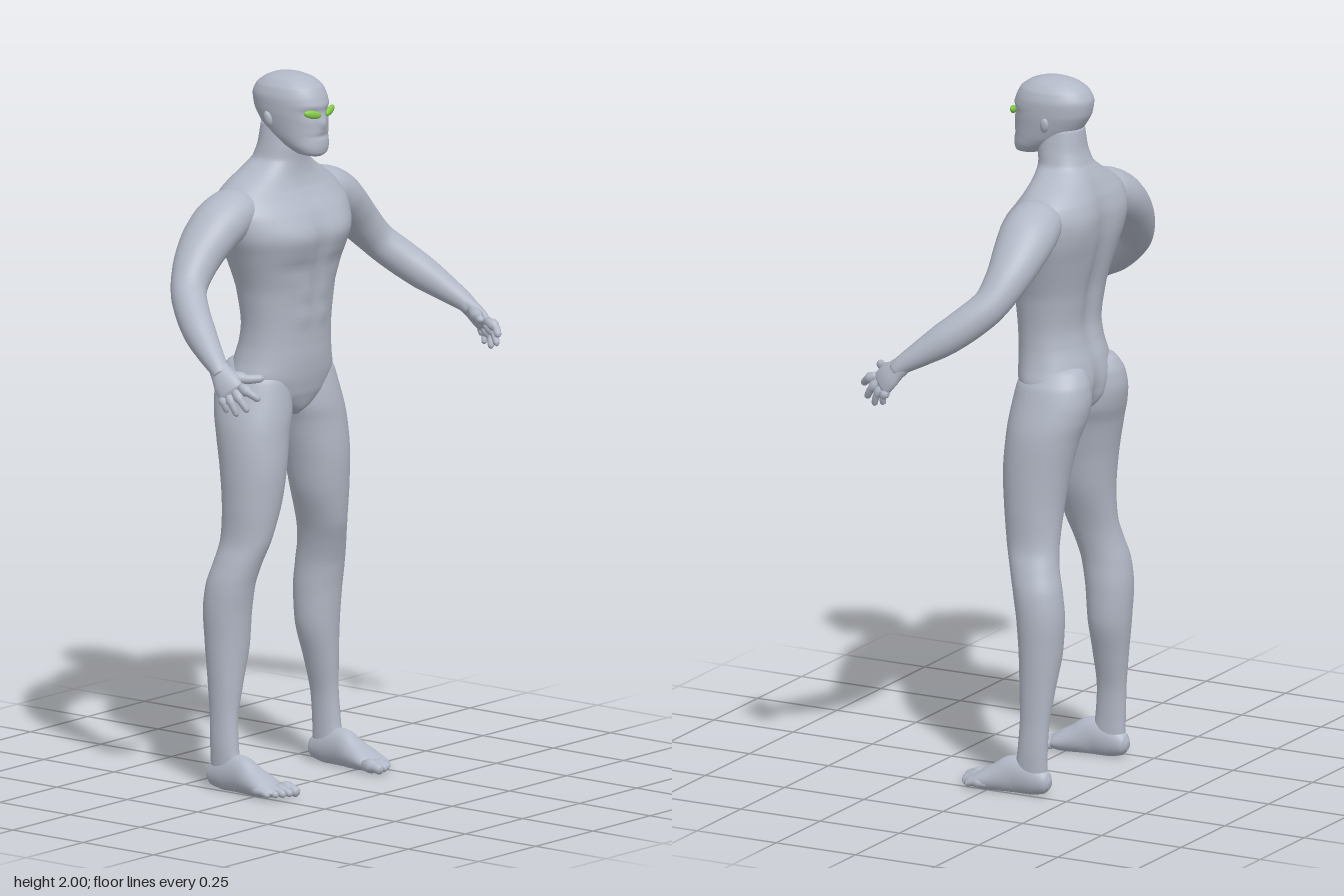
import * as THREE from 'three';

const V = (x, y, z) => new THREE.Vector3(x, y, z);
const bump = (d, w) => Math.exp(-(d * d) / (w * w));
const soft = (v, e) => Math.sign(v) * Math.pow(Math.abs(v), e);

// Joins rings of n points into a closed smooth skin
function skin(rings) {
  const n = rings[0].length, m = rings.length, pos = [], idx = [];
  rings.forEach(r => r.forEach(p => pos.push(p.x, p.y, p.z)));
  [rings[0], rings[m - 1]].forEach(r => {
    const c = r.reduce((s, p) => s.add(p), V(0, 0, 0)).divideScalar(n);
    pos.push(c.x, c.y, c.z);
  });
  for (let j = 0; j < n; j++) {
    const k = (j + 1) % n, top = (m - 1) * n;
    for (let i = 0; i < m - 1; i++) {
      const a = i * n + j, b = i * n + k;
      idx.push(a, b, a + n, b, b + n, a + n);
    }
    idx.push(m * n, k, j, m * n + 1, top + j, top + k);
  }
  const g = new THREE.BufferGeometry();
  g.setAttribute('position', new THREE.Float32BufferAttribute(pos, 3));
  g.setIndex(idx);
  g.computeVertexNormals();
  return g;
}

// Horizontal sections, bottom to top: [y, centre x, half width, front z, back z]
function stack(rows, { n = 40, steps = 6, e = 1, shape } = {}) {
  const mid = new THREE.CatmullRomCurve3(rows.map(r => V(r[1], r[0], 0)));
  const size = new THREE.CatmullRomCurve3(rows.map(r => V(r[2], r[3], r[4])));
  const count = (rows.length - 1) * steps, rings = [];
  for (let i = 0; i <= count; i++) {
    const c = mid.getPoint(i / count), s = size.getPoint(i / count), ring = [];
    for (let j = 0; j < n; j++) {
      const a = j / n * Math.PI * 2;
      const p = V(c.x + s.x * soft(Math.sin(a), e), c.y,
        (s.y + s.z) / 2 + (s.y - s.z) / 2 * soft(Math.cos(a), e));
      if (shape) shape(p, Math.cos(a));
      ring.push(p);
    }
    rings.push(ring);
  }
  return skin(rings);
}

// Sections along a bent path: [x, y, z, radius along ref, radius across]
function limb(rows, { n = 16, steps = 5, ref = V(0, 1, 0), shape } = {}) {
  const path = new THREE.CatmullRomCurve3(rows.map(r => V(r[0], r[1], r[2])));
  const size = new THREE.CatmullRomCurve3(rows.map(r => V(r[3], r[4], 0)));
  const count = (rows.length - 1) * steps, rings = [];
  for (let i = 0; i <= count; i++) {
    const c = path.getPoint(i / count), s = size.getPoint(i / count), t = path.getTangent(i / count);
    const u = ref.clone().addScaledVector(t, -ref.dot(t)).normalize();
    const v = t.clone().cross(u), ring = [];
    for (let j = 0; j < n; j++) {
      const a = j / n * Math.PI * 2;
      const p = c.clone().addScaledVector(u, s.x * Math.cos(a)).addScaledVector(v, s.y * Math.sin(a));
      if (shape) shape(p);
      ring.push(p);
    }
    rings.push(ring);
  }
  return skin(rings);
}

// Finger or toe with a rounded tip
function digit(a, b, c, r, shape) {
  const near = b.clone().lerp(c, 0.8);
  return limb([[...a, r, r], [...b, r, r], [...near, r * 0.85, r * 0.85], [...c, r * 0.3, r * 0.3]],
    { n: 12, steps: 4, shape });
}

function mirrored(geo) {
  const g = geo.clone().scale(-1, 1, 1), ix = g.index;
  for (let i = 0; i < ix.count; i += 3) {
    const b = ix.getX(i + 1);
    ix.setX(i + 1, ix.getX(i + 2));
    ix.setX(i + 2, b);
  }
  g.computeVertexNormals();
  return g;
}

export function createModel() {
  const model = new THREE.Group();
  const skinGrey = new THREE.MeshStandardMaterial({ name: 'blue grey skin', color: 0xb2b8c6 });
  const eyeGreen = new THREE.MeshStandardMaterial({ name: 'eye green', color: 0x84cc48 });
  const add = (name, geo, mat = skinGrey) => {
    const m = new THREE.Mesh(geo, mat);
    m.name = name;
    model.add(m);
  };
  const pair = (name, geo, mat) => {
    add('left' + name, geo, mat);
    add('right' + name, mirrored(geo), mat);
  };

  // Torso and neck, with chest, belly line, spine and shoulder blades
  add('torso', stack([
    [1.035, 0, 0.015, -0.05, -0.13], [1.055, 0, 0.06, -0.03, -0.18], [1.1, 0, 0.15, -0.012, -0.212],
    [1.15, 0, 0.173, -0.002, -0.218], [1.2, 0, 0.16, 0.003, -0.21], [1.25, 0, 0.151, 0.004, -0.195],
    [1.3, 0, 0.15, 0.006, -0.188], [1.4, 0, 0.164, 0.014, -0.2], [1.5, 0, 0.2, 0.036, -0.225],
    [1.56, 0, 0.224, 0.043, -0.236], [1.62, 0, 0.232, 0.02, -0.238], [1.67, 0, 0.21, -0.015, -0.228],
    [1.7, 0, 0.17, -0.03, -0.215], [1.73, 0, 0.118, -0.037, -0.2], [1.76, 0, 0.08, -0.038, -0.182],
    [1.8, 0, 0.07, -0.036, -0.168], [1.86, 0, 0.06, -0.04, -0.16],
  ], {
    n: 64, e: 0.9, shape: (p, f) => {
      const x = Math.abs(p.x);
      if (f > 0) {
        p.z += f * 0.012 * bump(x - 0.095, 0.07) * bump(p.y - 1.56, 0.06);
        p.z -= 0.008 * bump(x, 0.018) * bump(p.y - 1.5, 0.13);
        p.z -= f * 0.006 * bump(p.y - 1.465, 0.02) * bump(x - 0.08, 0.07);
        p.z += f * 0.005 * bump(x - 0.04, 0.03) * (bump(p.y - 1.39, 0.025) + bump(p.y - 1.32, 0.025));
      } else {
        p.z += 0.018 * bump(x, 0.035) * bump(p.y - 1.45, 0.22);
        p.z += 0.02 * bump(x, 0.015) * bump(p.y - 1.1, 0.07);
        p.z -= 0.012 * bump(x - 0.12, 0.06) * bump(p.y - 1.62, 0.08);
      }
    },
  }));

  // Head with brow, eye hollows, nose and mouth crease
  add('head', stack([
    [1.775, 0, 0.02, 0.03, -0.02], [1.782, 0, 0.042, 0.039, -0.04], [1.8, 0, 0.057, 0.043, -0.075],
    [1.83, 0, 0.068, 0.041, -0.13], [1.86, 0, 0.074, 0.04, -0.16], [1.9, 0, 0.08, 0.04, -0.184],
    [1.935, 0, 0.081, 0.037, -0.19], [1.965, 0, 0.072, 0.023, -0.177], [1.985, 0, 0.053, -0.004, -0.15],
    [1.996, 0, 0.03, -0.035, -0.12], [2, 0, 0.008, -0.065, -0.085],
  ], {
    n: 56, e: 0.93, shape: (p, f) => {
      if (f < 0) return;
      const x = Math.abs(p.x);
      p.z += 0.01 * bump(x, 0.012) * bump(p.y - 1.868, 0.018);
      p.z -= 0.006 * bump(x - 0.036, 0.02) * bump(p.y - 1.897, 0.014);
      p.z += 0.004 * f * bump(p.y - 1.918, 0.01);
      p.z -= 0.004 * f * bump(p.y - 1.832, 0.006) * bump(x, 0.035);
    },
  }));

  // Slanted almond eyes and small ears
  const almond = new THREE.SphereGeometry(1, 24, 12).scale(0.029, 0.0115, 0.008)
    .rotateZ(0.22).rotateY(0.32).translate(0.038, 1.898, 0.034);
  pair('Eye', almond, eyeGreen);
  pair('Ear', new THREE.SphereGeometry(1, 16, 12).scale(0.009, 0.022, 0.013)
    .rotateZ(-0.2).rotateX(-0.2).translate(0.083, 1.878, -0.088));

  // Arm from shoulder through elbow to wrist
  pair('Arm', limb([
    [0.12, 1.635, -0.12, 0.035, 0.05], [0.19, 1.632, -0.122, 0.064, 0.078], [0.245, 1.605, -0.126, 0.07, 0.082],
    [0.3, 1.565, -0.128, 0.065, 0.076], [0.36, 1.508, -0.122, 0.058, 0.062], [0.415, 1.447, -0.1, 0.05, 0.05],
    [0.455, 1.4, -0.055, 0.05, 0.048], [0.49, 1.355, 0, 0.047, 0.045], [0.52, 1.312, 0.06, 0.036, 0.036],
    [0.54, 1.278, 0.108, 0.026, 0.028], [0.545, 1.262, 0.125, 0.022, 0.026],
  ], { n: 32 }));

  // Palm, four fingers and thumb
  pair('Palm', limb([
    [0.537, 1.283, 0.1, 0.026, 0.024], [0.545, 1.262, 0.125, 0.032, 0.022],
    [0.551, 1.24, 0.147, 0.039, 0.02], [0.554, 1.221, 0.164, 0.038, 0.015], [0.555, 1.214, 0.171, 0.024, 0.006],
  ], { n: 24, ref: V(0.4, -0.4, -0.82) }));
  const tips = [V(0.522, 1.203, 0.24), V(0.545, 1.17, 0.217), V(0.556, 1.156, 0.187), V(0.562, 1.164, 0.156)];
  tips.forEach((tip, i) => {
    const base = V(0.541, 1.238, 0.185).lerp(V(0.563, 1.208, 0.139), i / 3);
    const joint = base.clone().lerp(tip, 0.5).add(V(0.007, 0.002, 0.004));
    pair('Finger' + (i + 1), digit(base, joint, tip, 0.0115 - 0.0007 * i));
  });
  pair('Thumb', digit(V(0.537, 1.262, 0.135), V(0.507, 1.252, 0.18), V(0.474, 1.254, 0.216), 0.0135));

  // Leg with buttock, thigh, knee, calf and ankle
  pair('Leg', stack([
    [0.02, 0.222, 0.024, -0.085, -0.165], [0.06, 0.222, 0.028, -0.075, -0.172], [0.12, 0.223, 0.03, -0.084, -0.173],
    [0.2, 0.22, 0.032, -0.09, -0.176], [0.3, 0.209, 0.046, -0.086, -0.187], [0.4, 0.197, 0.063, -0.08, -0.2],
    [0.5, 0.197, 0.068, -0.073, -0.206], [0.58, 0.195, 0.066, -0.06, -0.198], [0.64, 0.183, 0.062, -0.043, -0.183],
    [0.7, 0.166, 0.061, -0.024, -0.175], [0.8, 0.148, 0.078, -0.009, -0.177], [0.9, 0.138, 0.088, -0.001, -0.19],
    [1, 0.125, 0.097, -0.004, -0.212], [1.05, 0.112, 0.101, -0.006, -0.228], [1.1, 0.103, 0.095, -0.012, -0.237],
    [1.15, 0.097, 0.084, -0.022, -0.232], [1.19, 0.09, 0.06, -0.05, -0.21], [1.21, 0.088, 0.03, -0.09, -0.17],
  ], { n: 40, e: 0.96 }));

  // Foot with a flat sole, and five toes
  const sole = p => { p.y = Math.max(p.y, 0.002); };
  const foot = limb([
    [0.222, 0.035, -0.184, 0.012, 0.01], [0.222, 0.037, -0.172, 0.03, 0.025], [0.222, 0.045, -0.13, 0.048, 0.033],
    [0.222, 0.05, -0.075, 0.055, 0.036], [0.222, 0.037, -0.025, 0.042, 0.044], [0.222, 0.026, 0.02, 0.029, 0.05],
    [0.221, 0.021, 0.045, 0.019, 0.047], [0.217, 0.018, 0.058, 0.009, 0.036],
  ], { n: 32, shape: sole });
  pair('Foot', foot);
  [[0.183, 0.102, 0.0155], [0.207, 0.098, 0.0115], [0.227, 0.09, 0.011], [0.245, 0.078, 0.0105], [0.262, 0.062, 0.0105]]
    .forEach(([x, z, r], i) => {
      pair('Toe' + (i + 1), digit(V(x * 0.9 + 0.022, 0.021, z - 0.065), V(x, 0.022, z - 0.027), V(x, 0.013, z), r, sole));
    });

  return model;
}
